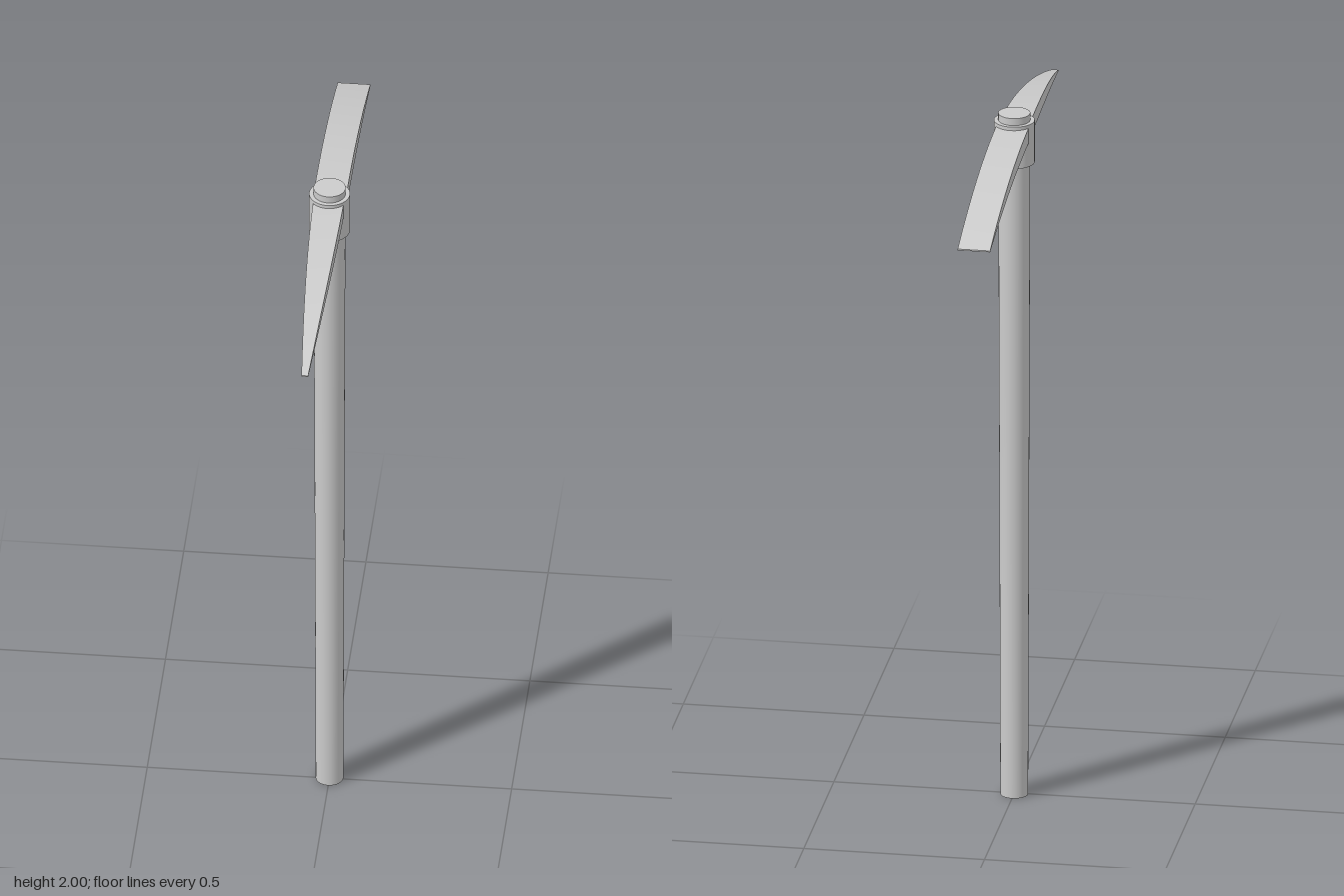
import * as THREE from 'three';
import { toCreasedNormals } from 'three/addons/utils/BufferGeometryUtils.js';

const material = new THREE.MeshStandardMaterial({ color: 0xcccccc });
const AXIS_Z = -0.004; // handle axis
const REACH = 0.676;   // half length of the head
const STEPS = 16;

function addMesh(group, name, geometry) {
  const mesh = new THREE.Mesh(geometry, material);
  mesh.name = name;
  group.add(mesh);
  return mesh;
}

// Curved blade: rectangular sections along z, thinning towards the tip.
function bladeGeometry(direction, halfWidth) {
  const positions = [];
  const index = [];
  for (let i = 0; i <= STEPS; i++) {
    const t = i / STEPS;
    const z = direction * REACH * t;
    const top = 1.97 - 0.11 * t * t;
    const bottom = 1.926 - 0.07 * t * t;
    const w = halfWidth(t);
    positions.push(-w, bottom, z, w, bottom, z, w, top, z, -w, top, z);
  }
  const quad = (a, b, c, d) => {
    if (direction > 0) index.push(a, b, c, a, c, d);
    else index.push(a, c, b, a, d, c);
  };
  for (let i = 0; i < STEPS; i++) {
    for (let k = 0; k < 4; k++) {
      const a = i * 4 + k;
      const b = i * 4 + (k + 1) % 4;
      quad(a, b, b + 4, a + 4);
    }
  }
  const e = STEPS * 4;
  quad(e, e + 1, e + 2, e + 3); // tip
  quad(3, 2, 1, 0);             // root, inside the collar
  const geometry = new THREE.BufferGeometry();
  geometry.setAttribute('position', new THREE.Float32BufferAttribute(positions, 3));
  geometry.setIndex(index);
  return toCreasedNormals(geometry, 0.6);
}

export function createModel() {
  const group = new THREE.Group();
  group.name = 'pickaxe';

  // Slightly tapered wooden shaft
  const handle = addMesh(group, 'handle', new THREE.CylinderGeometry(0.044, 0.038, 2, 32));
  handle.position.set(0, 1, AXIS_Z);

  // Socket around the shaft
  const collar = addMesh(group, 'collar', new THREE.CylinderGeometry(0.056, 0.056, 0.123, 32));
  collar.position.set(0, 1.918, AXIS_Z);

  // Pointed blade in front, flat chisel blade behind
  addMesh(group, 'pointedBlade', bladeGeometry(1, t => 0.042 - 0.033 * Math.pow(t, 1.6)));
  addMesh(group, 'chiselBlade', bladeGeometry(-1, () => 0.045));

  return group;
}
